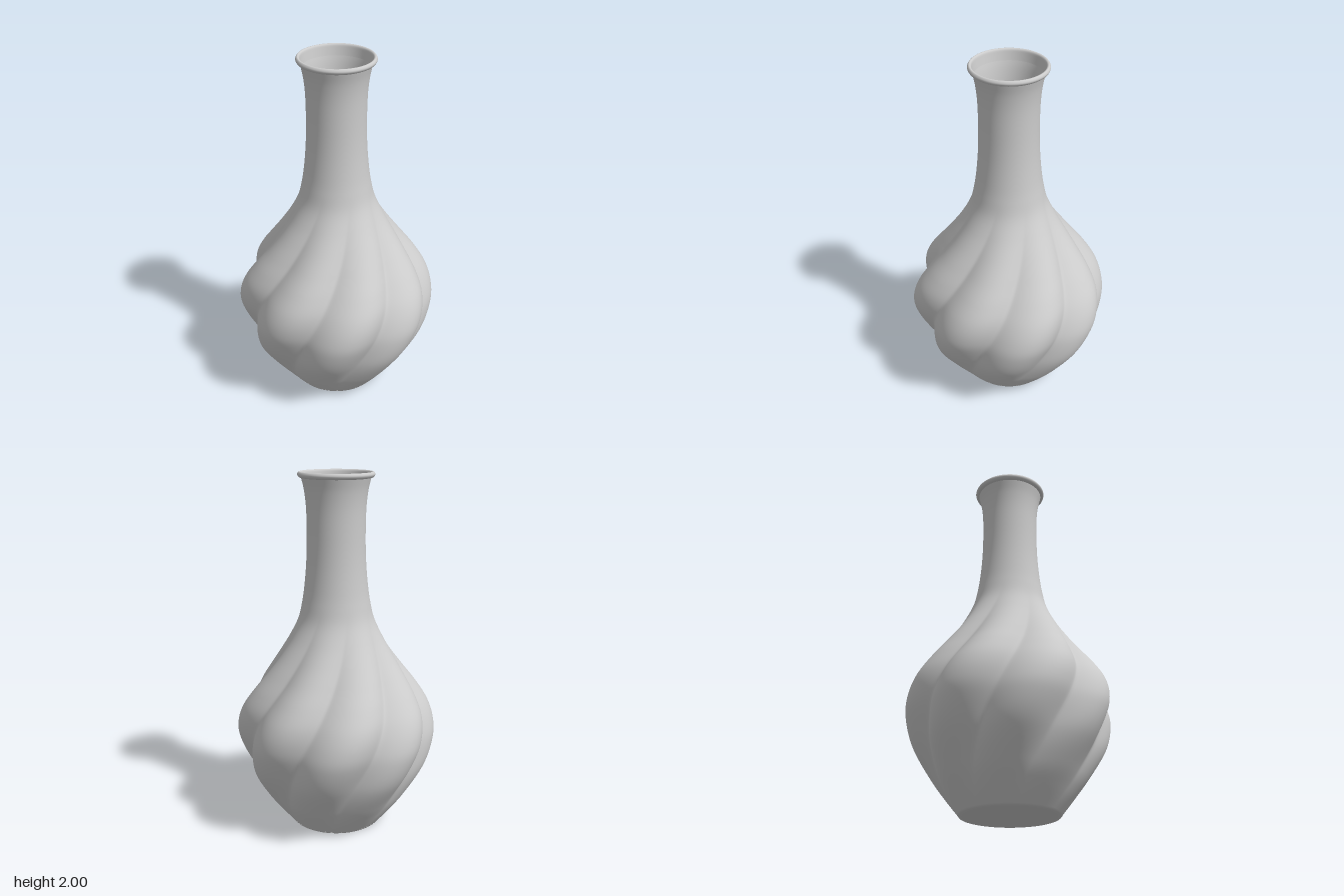
import * as THREE from 'three';
import { mergeVertices } from 'three/addons/utils/BufferGeometryUtils.js';

const LOBES = 8;
const SEGMENTS = 256;

// Lathe with its seam welded so the normals run smoothly all the way round
function smoothLathe(points, segments, deform) {
  let geometry = new THREE.LatheGeometry(points, segments);
  geometry.deleteAttribute('uv');
  geometry.deleteAttribute('normal');
  if (deform) deform(geometry.attributes.position);
  geometry = mergeVertices(geometry, 1e-5);
  geometry.computeVertexNormals();
  return geometry;
}

// Press eight spiralling grooves into the belly, fading out at foot and neck
function twistLobes(position) {
  for (let i = 0; i < position.count; i++) {
    const x = position.getX(i), y = position.getY(i), z = position.getZ(i);
    const radius = Math.hypot(x, z);
    const angle = Math.atan2(x, z);
    const s = Math.sin(angle * LOBES / 2);
    const bulge = Math.min(1, Math.sqrt(s * s + 0.006));
    const fade = THREE.MathUtils.smoothstep(y, -0.05, 0.45) * (1 - THREE.MathUtils.smoothstep(y, 0.8, 1.3));
    const r = radius * (1 - 0.125 * fade * (1 - bulge));
    const turned = angle + y - 0.51;
    position.setXYZ(i, r * Math.sin(turned), y, r * Math.cos(turned));
  }
}

export function createModel() {
  const group = new THREE.Group();
  const ceramic = new THREE.MeshStandardMaterial({ color: 0xcccccc, side: THREE.DoubleSide });
  ceramic.name = 'pale grey ceramic';

  const add = (name, geometry) => {
    const mesh = new THREE.Mesh(geometry, ceramic);
    mesh.name = name;
    group.add(mesh);
    return mesh;
  };

  // Body and neck: thin shell from the foot up to the lip
  const profile = new THREE.SplineCurve([
    [0.272, 0.01], [0.345, 0.1], [0.418, 0.2], [0.515, 0.36], [0.56, 0.5], [0.563, 0.6],
    [0.535, 0.7], [0.475, 0.8], [0.4, 0.9], [0.327, 1.0], [0.262, 1.1], [0.212, 1.2],
    [0.188, 1.3], [0.174, 1.4], [0.164, 1.52], [0.16, 1.65], [0.162, 1.8], [0.172, 1.9], [0.188, 1.97],
  ].map(([r, y]) => new THREE.Vector2(r, y)));
  add('body', smoothLathe(profile.getSpacedPoints(130), SEGMENTS, twistLobes));

  // Rounded lip around the mouth
  const lip = new THREE.SplineCurve([
    [0.187, 1.968], [0.2, 1.972], [0.208, 1.985], [0.203, 1.997], [0.196, 2.0], [0.188, 1.994], [0.184, 1.975], [0.178, 1.94],
  ].map(([r, y]) => new THREE.Vector2(r, y)));
  add('lip', smoothLathe(lip.getPoints(20), 96));

  // Foot: narrow bevelled ring under the body
  add('foot', new THREE.LatheGeometry([
    new THREE.Vector2(0.238, 0), new THREE.Vector2(0.264, 0), new THREE.Vector2(0.272, 0.01),
  ], 96));

  // Flat floor closing the base
  const floor = add('floor', new THREE.CircleGeometry(0.238, 96));
  floor.rotation.x = Math.PI / 2;

  return group;
}
